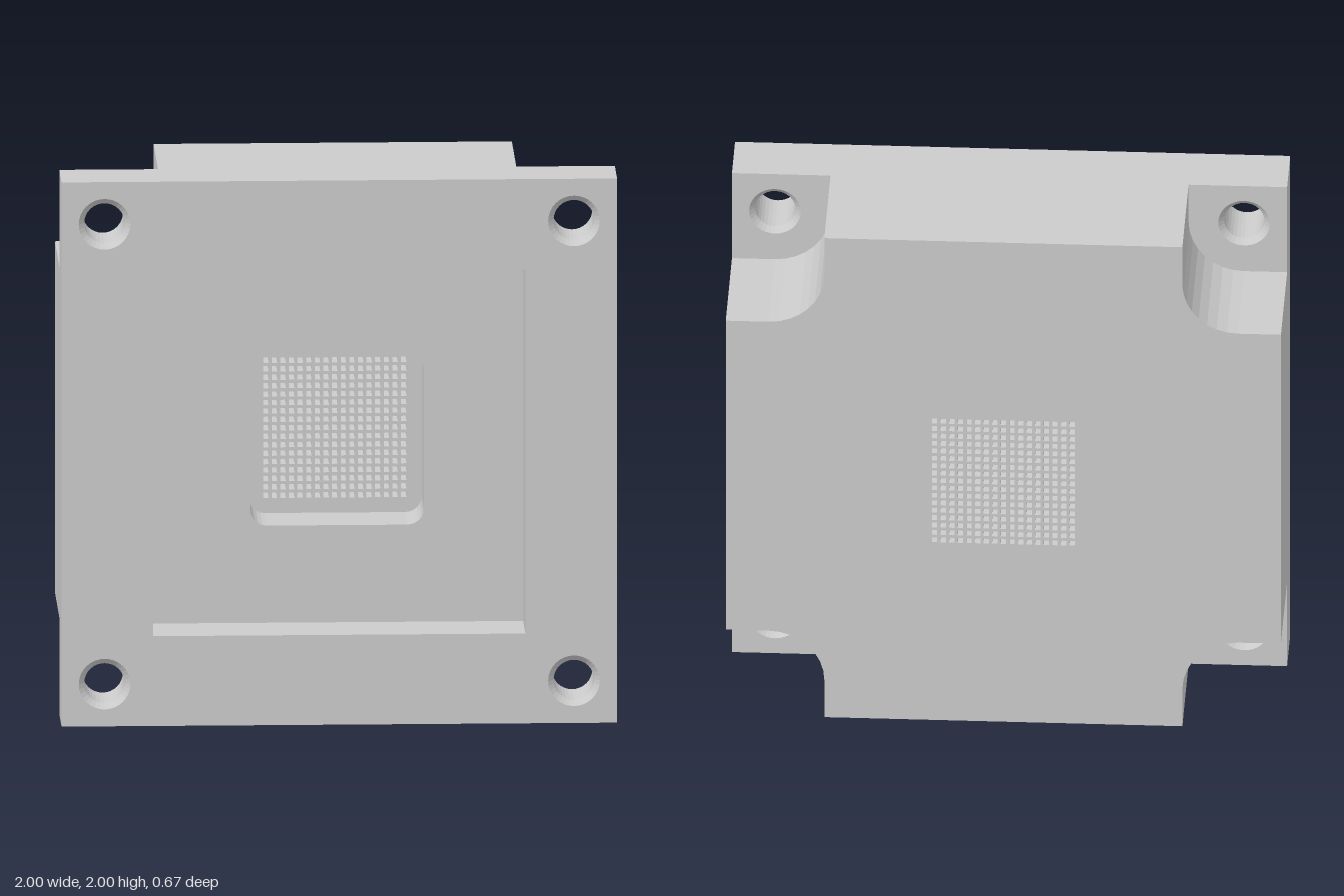
import * as THREE from 'three';
import { mergeGeometries } from 'three/addons/utils/BufferGeometryUtils.js';

const FRONT = 0.333, LEDGE = 0.111, FLOOR = -0.111, BACK = -0.333;
const v = (x, y) => new THREE.Vector2(x, y);

const arc = (cx, cy, r, a0, a1, n) => Array.from({ length: n + 1 }, (_, i) => {
  const a = a0 + (a1 - a0) * i / n;
  return v(cx + r * Math.cos(a), cy + r * Math.sin(a));
});
const circle = (cx, cy, r) => arc(cx, cy, r, 0, Math.PI * 2, 32).slice(0, -1);
const square = (cx, cy, h) => [v(cx - h, cy - h), v(cx + h, cy - h), v(cx + h, cy + h), v(cx - h, cy + h)];
const turn = (pts, k) => pts.map(p => p.clone().rotateAround(v(0, 0), k * Math.PI / 2));
const quarters = [0, 1, 2, 3];

// Flat face at depth z with holes; facing +z, or -z when back is true
function face(outline, holes, z, back = false) {
  const shape = new THREE.Shape(outline);
  shape.holes = holes.map(h => new THREE.Path(h));
  const g = new THREE.ShapeGeometry(shape).translate(0, 0, z);
  if (back) g.index.array.reverse();
  const out = g.toNonIndexed();
  out.deleteAttribute('uv');
  out.computeVertexNormals();
  return out;
}

// Band between two matching outlines; outward for counter-clockwise points and zA < zB
function band(a, zA, b, zB, closed = true) {
  const pos = [];
  for (let i = 0; i < a.length - (closed ? 0 : 1); i++) {
    const j = (i + 1) % a.length;
    const p = [a[i].x, a[i].y, zA], q = [a[j].x, a[j].y, zA];
    const r = [b[j].x, b[j].y, zB], s = [b[i].x, b[i].y, zB];
    pos.push(...p, ...q, ...r, ...p, ...r, ...s);
  }
  const g = new THREE.BufferGeometry();
  g.setAttribute('position', new THREE.Float32BufferAttribute(pos, 3));
  g.computeVertexNormals();
  return g;
}

export function createModel() {
  const model = new THREE.Group();
  model.name = 'gridBlock';
  const body = new THREE.Group();
  body.name = 'body';
  body.position.y = 1;
  model.add(body);
  const material = new THREE.MeshStandardMaterial({ color: 0xcccccc, flatShading: true });
  const add = (name, geometry, k = 0) => {
    const mesh = new THREE.Mesh(geometry, material);
    mesh.name = name;
    mesh.rotation.z = k * Math.PI / 2;
    body.add(mesh);
  };

  // Outlines
  const notch = [v(1, 0.645), ...arc(0.845, 0.845, 0.2, -Math.PI / 2, -Math.PI, 8), v(0.645, 1)];
  const block = quarters.flatMap(k => turn(notch, k));
  const rim = circle(0.845, 0.845, 0.093), bore = circle(0.845, 0.845, 0.073);
  const pocket = square(0, 0, 0.67);
  const q = Math.PI / 2;
  const well = [[1, 1], [-1, 1], [-1, -1], [1, -1]].flatMap(([sx, sy], k) =>
    arc(sx * 0.253, sy * 0.253, 0.06, k * q, (k + 1) * q, 6));
  const cells = [];
  for (let i = -8; i <= 8; i++)
    for (let j = -8; j <= 8; j++) cells.push(square(i * 0.031, j * 0.031, 0.0098));

  // Front flange face, stepped pocket and perforated floor
  add('frontFace', face(square(0, 0, 1), [pocket, ...quarters.map(k => turn(rim, k))], FRONT));
  add('pocketWalls', band(pocket, FRONT, pocket, LEDGE));
  add('pocketFloor', face(pocket, [well], LEDGE));
  add('wellWalls', band(well, LEDGE, well, FLOOR));
  add('perforatedFloor', face(well, cells, FLOOR));
  add('perforationWalls', mergeGeometries(cells.map(c => band(c, FLOOR, c, BACK))));
  add('backFace', face(block, cells, BACK, true));

  // Stepped outer sides, corner notches and chamfered bolt holes
  const side = [v(-1, LEDGE), v(-0.645, LEDGE), v(-0.645, BACK), v(0.645, BACK),
    v(0.645, LEDGE), v(1, LEDGE), v(1, FRONT), v(-1, FRONT)];
  for (const k of quarters) {
    add('outerSide', face(side, [], 0).rotateX(Math.PI / 2).translate(0, -1, 0), k);
    add('cornerNotch', band(notch, BACK, notch, LEDGE, false), k);
    add('cornerTab', face([...notch, v(1, 1)], [rim], LEDGE, true), k);
    add('boltHole', mergeGeometries([
      band(rim, FRONT, bore, FRONT - 0.02),
      band(bore, FRONT - 0.02, bore, LEDGE + 0.02),
      band(bore, LEDGE + 0.02, rim, LEDGE),
    ]), k);
  }
  return model;
}
